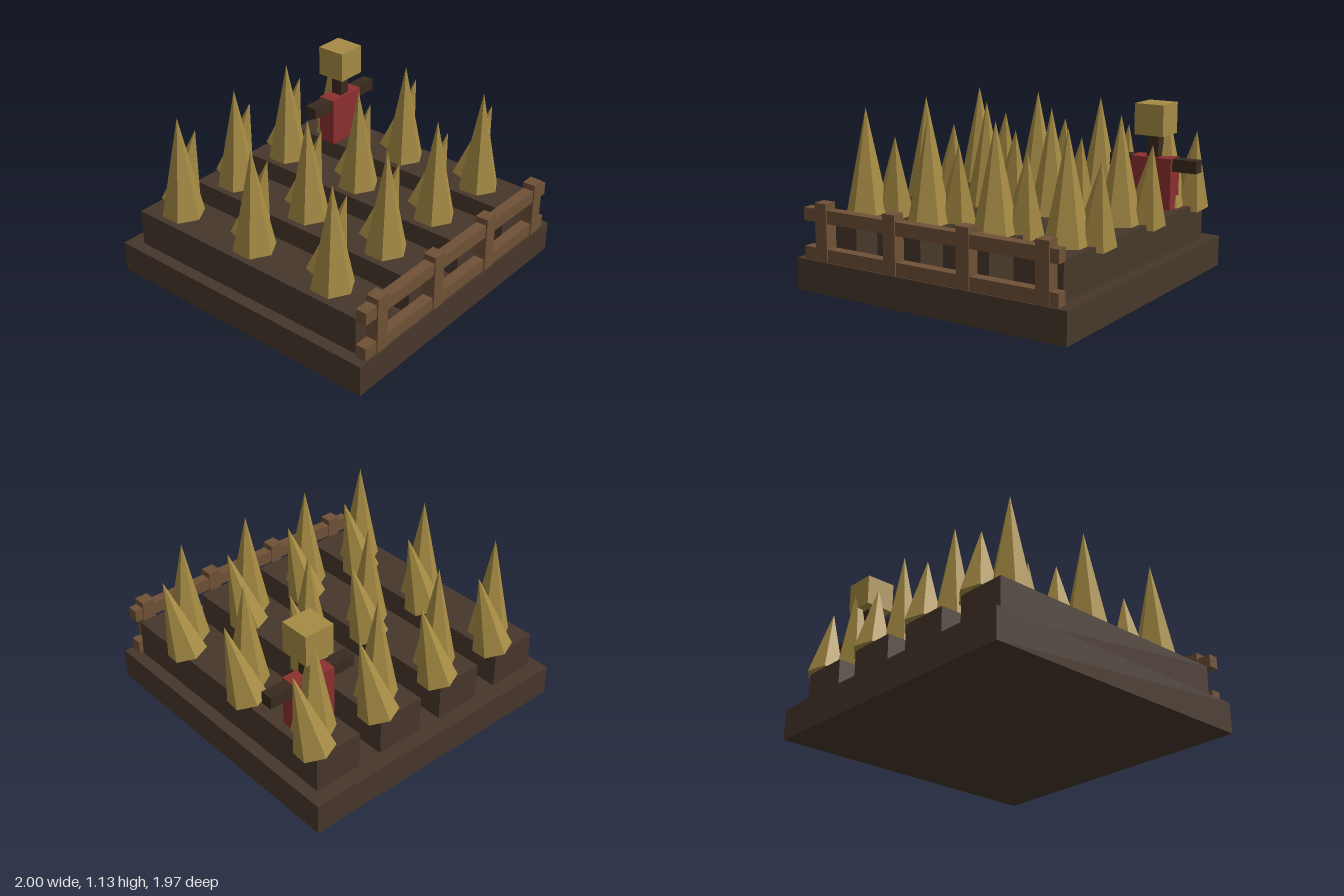
import * as THREE from 'three';

const material = (color) => new THREE.MeshStandardMaterial({ color, flatShading: true });

export function createModel() {
  const model = new THREE.Group();
  const soil = material(0x47372b);
  const wood = material(0x6f5136);
  const straw = material(0xa68b44);
  const cloth = material(0x8c2f2f);
  const darkWood = material(0x3a2a1f);

  // Box given by its min and max corners
  function box(name, mat, [x0, y0, z0], [x1, y1, z1], parent = model) {
    const mesh = new THREE.Mesh(new THREE.BoxGeometry(x1 - x0, y1 - y0, z1 - z0), mat);
    mesh.position.set((x0 + x1) / 2, (y0 + y1) / 2, (z0 + z1) / 2);
    mesh.name = name;
    parent.add(mesh);
    return mesh;
  }

  // Ground slab
  box('ground', soil, [-1, 0, -0.988], [0.975, 0.205, 0.985]);

  // Stalks: a tall upright cone and a smaller one leaning forward and outward
  const tall = new THREE.ConeGeometry(0.138, 0.675, 6).translate(0, 0.3375, 0);
  const lean = new THREE.Vector3(0.083, 0.51, 0.085);
  const small = new THREE.ConeGeometry(0.128, lean.length(), 6)
    .translate(0, lean.length() / 2, 0)
    .rotateY(-0.16)
    .applyQuaternion(new THREE.Quaternion().setFromUnitVectors(
      new THREE.Vector3(0, 1, 0), lean.clone().normalize()));

  // Four raised beds, each with three plants
  for (let i = 0; i < 4; i++) {
    const x = -0.757 + i * 0.495;
    box('raisedBed', soil, [x - 0.164, 0.205, -0.885], [x + 0.164, 0.45, 0.885]);
    for (const z of [-0.663, -0.043, 0.577]) {
      const plant = new THREE.Group();
      plant.name = 'plant';
      plant.position.set(x, 0.45, z);
      const tallStalk = new THREE.Mesh(tall, straw);
      tallStalk.name = 'tallStalk';
      const leaningStalk = new THREE.Mesh(small, straw);
      leaningStalk.name = 'leaningStalk';
      leaningStalk.position.set(0.107, -0.01, -0.137);
      plant.add(tallStalk, leaningStalk);
      model.add(plant);
    }
  }

  // Front fence
  const fence = new THREE.Group();
  fence.name = 'fence';
  model.add(fence);
  for (let i = 0; i < 4; i++) {
    const x = -0.796 + i * 0.536;
    box('fencePost', wood, [x - 0.045, 0.205, 0.893], [x + 0.045, 0.577, 0.98], fence);
  }
  for (const y of [0.205, 0.452]) {
    box('fenceRail', wood, [-0.938, y, 0.9], [0.913, y + 0.084, 0.972], fence);
  }

  // Scarecrow at the back of the last bed
  const scarecrow = new THREE.Group();
  scarecrow.name = 'scarecrow';
  model.add(scarecrow);
  box('pole', darkWood, [0.649, 0.44, -0.62], [0.73, 0.95, -0.54], scarecrow);
  box('arms', darkWood, [0.378, 0.702, -0.621], [1, 0.783, -0.539], scarecrow);
  box('shirt', cloth, [0.545, 0.45, -0.641], [0.833, 0.785, -0.517], scarecrow);
  box('head', straw, [0.588, 0.93, -0.681], [0.791, 1.132, -0.478], scarecrow);

  return model;
}
